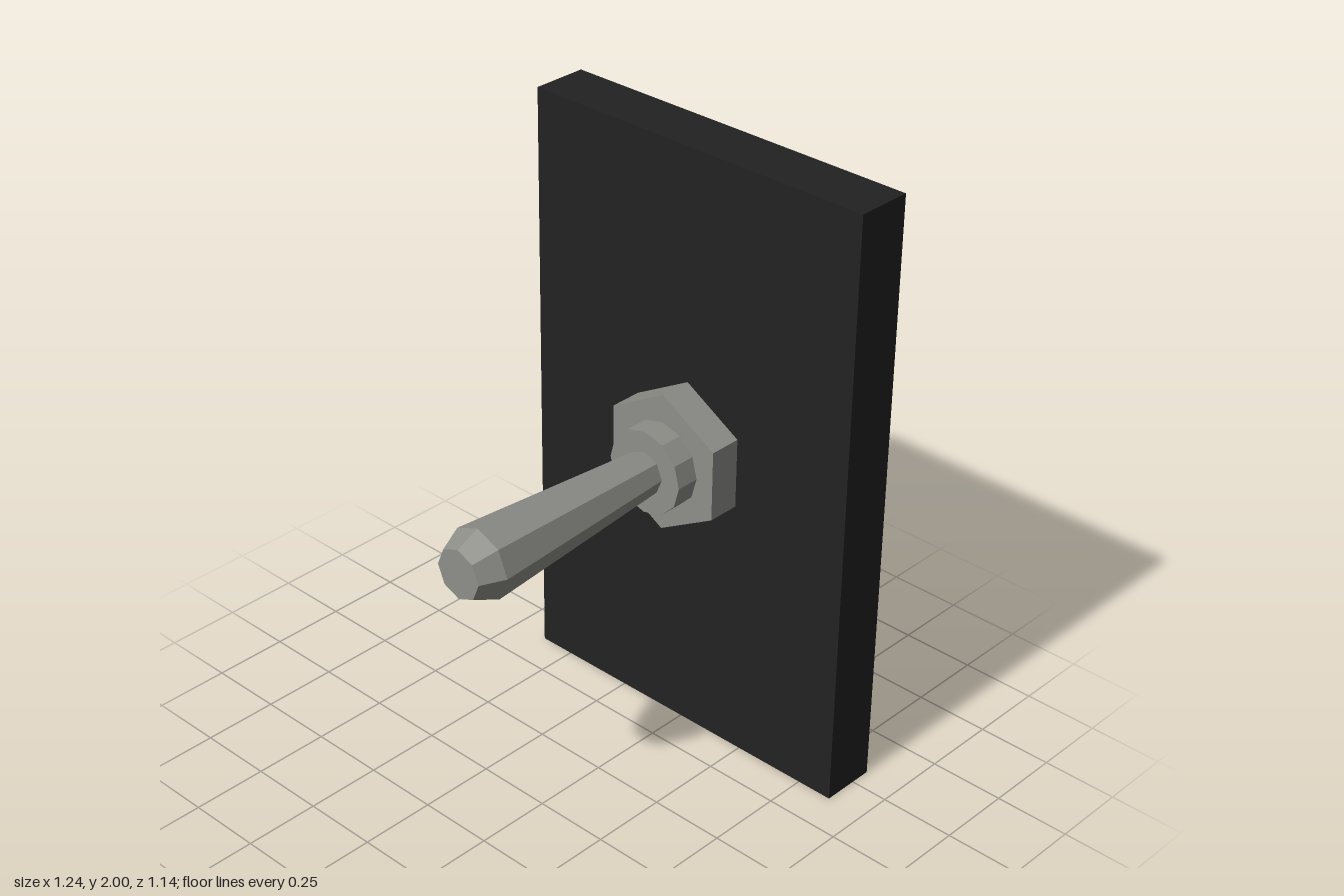
import * as THREE from 'three';

export function createModel() {
  const group = new THREE.Group();
  group.name = 'toggleSwitch';

  const plateBlack = new THREE.MeshStandardMaterial({ color: 0x222222, flatShading: true });
  plateBlack.name = 'plateBlack';
  const metalGrey = new THREE.MeshStandardMaterial({ color: 0x8e8e89, flatShading: true });
  metalGrey.name = 'metalGrey';

  const add = (name, geometry, material) => {
    const mesh = new THREE.Mesh(geometry, material);
    mesh.name = name;
    group.add(mesh);
  };

  // Faceted part turned about the forward axis; profile is [radius, z] from back to front
  const turned = (name, sides, profile) => {
    const points = profile.map(([r, z]) => new THREE.Vector2(r, z));
    const geometry = new THREE.LatheGeometry(points, sides);
    geometry.rotateX(Math.PI / 2).translate(0, 1.003, 0);
    add(name, geometry, metalGrey);
  };

  // Backing plate
  add('plate', new THREE.BoxGeometry(1.244, 2, 0.185).translate(0, 1, -0.4765), plateBlack);

  // Hexagonal nut, round collar and flared lever with a chamfered tip
  turned('nut', 6, [[0, -0.384], [0.234, -0.384], [0.234, -0.276], [0, -0.276]]);
  turned('collar', 12, [[0, -0.276], [0.14, -0.276], [0.14, -0.198], [0, -0.198]]);
  turned('lever', 8, [[0, -0.198], [0.071, -0.198], [0.118, 0.49], [0.083, 0.569], [0, 0.569]]);

  return group;
}
